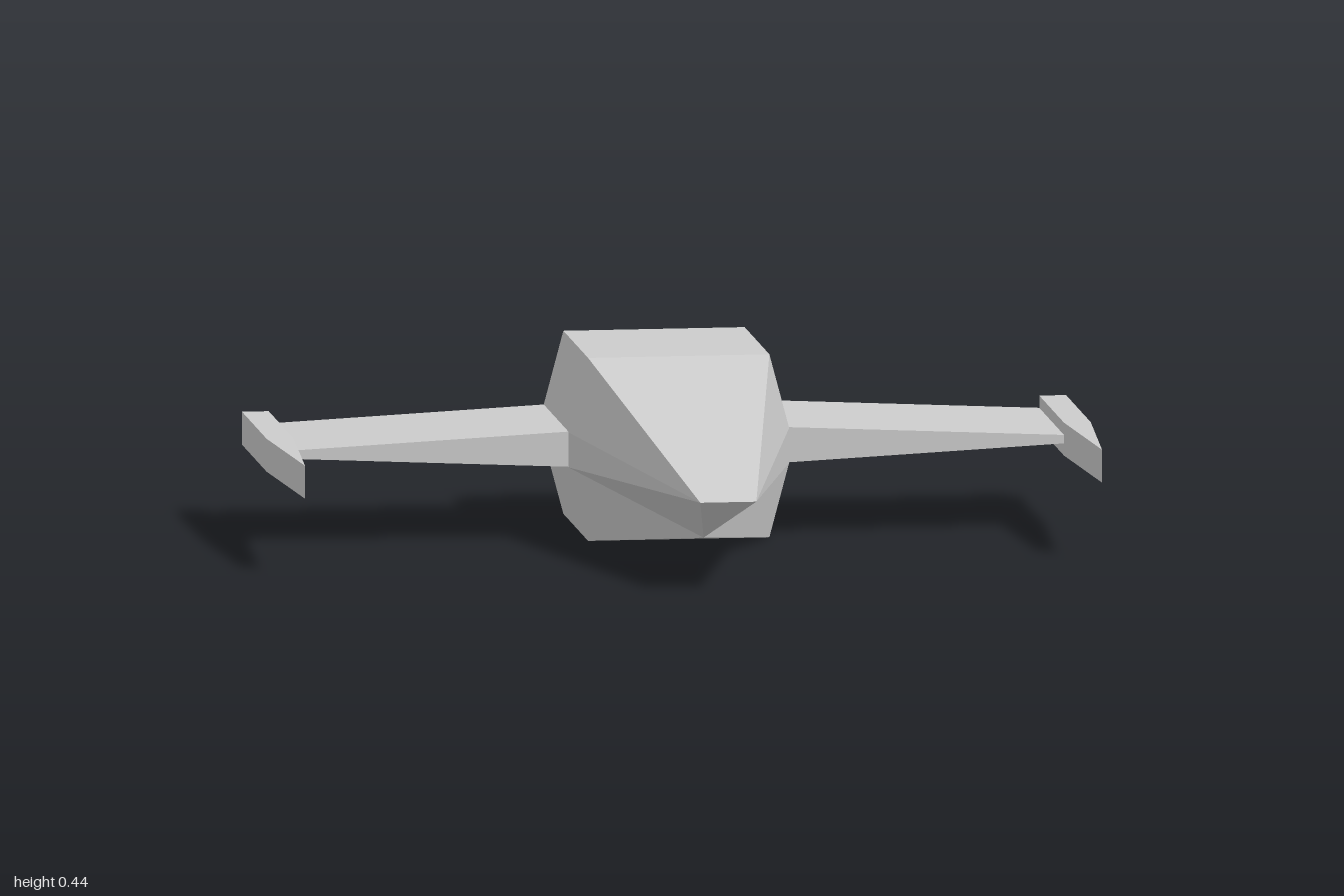
import * as THREE from 'three';

const material = new THREE.MeshStandardMaterial({ color: 0xcccccc, flatShading: true });

// Closed, faceted skin through rings of [x, y, z]; rings run counter-clockwise
// seen from the end they travel towards. Collapsed triangles are dropped.
function loft(name, rings) {
  const positions = [];
  const v = (p) => new THREE.Vector3(...p);
  const tri = (a, b, c) => {
    const area = v(b).sub(v(a)).cross(v(c).sub(v(a))).length();
    if (area > 1e-7) positions.push(...a, ...b, ...c);
  };
  const n = rings[0].length;
  for (let r = 0; r < rings.length - 1; r++) {
    const [a, b] = [rings[r], rings[r + 1]];
    for (let i = 0; i < n; i++) {
      const j = (i + 1) % n;
      tri(a[i], a[j], b[j]);
      tri(a[i], b[j], b[i]);
    }
  }
  const first = rings[0], last = rings[rings.length - 1];
  for (let i = 1; i < n - 1; i++) {
    tri(first[0], first[i + 1], first[i]);
    tri(last[0], last[i], last[i + 1]);
  }
  const geometry = new THREE.BufferGeometry();
  geometry.setAttribute('position', new THREE.Float32BufferAttribute(positions, 3));
  geometry.computeVertexNormals();
  const mesh = new THREE.Mesh(geometry, material);
  mesh.name = name;
  return mesh;
}

// Right half of a ring, completed by its mirror image
const mirrorRing = (half) => [...half, ...half.map(([x, y, z]) => [-x, y, z]).reverse()];

function createFuselage() {
  const midY = 0.2225;
  // The lower shoulder is doubled so that it can fan out to both chin and nose
  const profile = [[0.22, 0], [0.268, 0.18], [0.268, 0.18], [0.268, 0.265], [0.22, 0.445]];
  const section = (z, s) => mirrorRing(profile.map(([x, y]) => [x * s, midY + (y - midY) * s, z]));
  const chin = [0, 0.07, 0.265];
  const nose = [0.068, 0.222, 0.707];
  return loft('fuselage', [
    section(-0.71, 0.6),
    section(-0.622, 1),
    section(-0.18, 1),
    mirrorRing([chin, chin, nose, nose, nose]),
  ]);
}

// Wing and tip blade, built around y = 0
function createWing(name) {
  const wing = new THREE.Group();
  wing.name = name;
  const back = -0.622, front = -0.18;

  const rib = (x, h) => [[x, -h, back], [x, h, back], [x, h, front], [x, -h, front]];
  wing.add(loft('wingPanel', [rib(0.262, 0.043), rib(0.94, 0.01)]));

  const h = 0.04;
  const frame = (z, x0, x1) => [[x0, -h, z], [x1, -h, z], [x1, h, z], [x0, h, z]];
  wing.add(loft('tipBlade', [
    frame(back, 0.935, 1),
    frame(front, 0.935, 1),
    frame(0.265, 0.967, 0.967),
  ]));
  return wing;
}

export function createModel() {
  const model = new THREE.Group();
  model.name = 'spacecraft';
  model.add(createFuselage());

  // The wing is symmetric top to bottom, so half a turn makes the other side
  ['leftWing', 'rightWing'].forEach((name, i) => {
    const wing = createWing(name);
    wing.position.y = 0.224;
    wing.rotation.z = i * Math.PI;
    model.add(wing);
  });
  return model;
}
